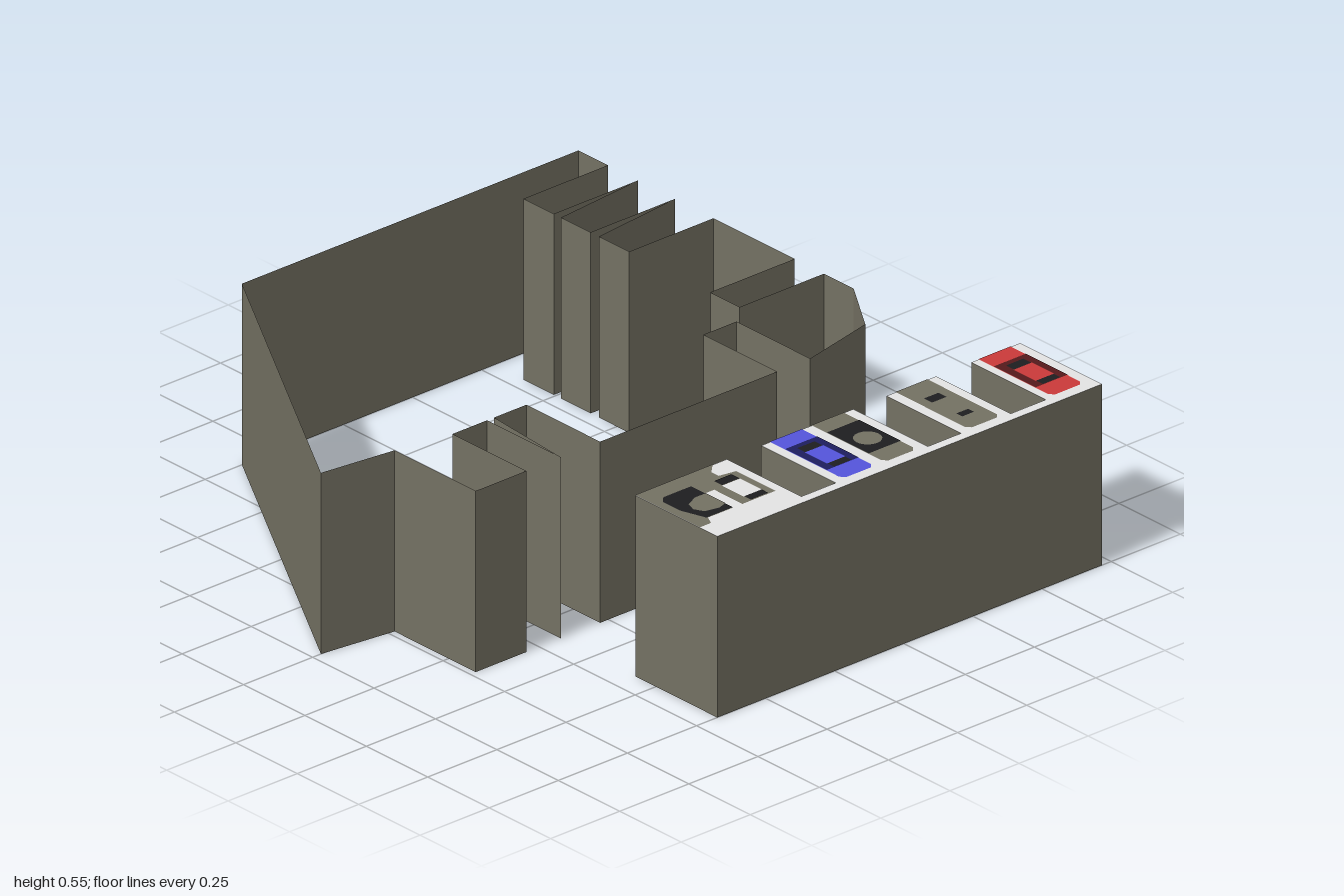
import * as THREE from 'three';

const H = 0.547;
const mat = (name, color, side = THREE.FrontSide) => {
  const m = new THREE.MeshStandardMaterial({ color, side });
  m.name = name;
  return m;
};

export function createModel() {
  const model = new THREE.Group();
  const M = {
    wall: mat('stone olive', 0x747163, THREE.DoubleSide),
    grey: mat('pale grey', 0xe4e4e4, THREE.DoubleSide),
    black: mat('near black', 0x1e1e20),
    blue: mat('blue', 0x5454dc),
    navy: mat('dark blue', 0x1e1e5e),
    red: mat('red', 0xca3a3a),
    maroon: mat('dark red', 0x561a1c),
  };

  const add = (parent, name, geo, material) => {
    const m = new THREE.Mesh(geo, material);
    m.name = name;
    parent.add(m);
    return m;
  };

  // Closed run of upright walls along a plan outline of [x, z] corners
  const walls = (pts) => {
    const pos = [];
    pts.forEach(([x0, z0], i) => {
      const [x1, z1] = pts[(i + 1) % pts.length];
      pos.push(x0, 0, z0, x1, 0, z1, x1, H, z1, x0, 0, z0, x1, H, z1, x0, H, z0);
    });
    const g = new THREE.BufferGeometry();
    g.setAttribute('position', new THREE.Float32BufferAttribute(pos, 3));
    g.computeVertexNormals();
    return g;
  };

  // Flat horizontal sheet from a plan outline
  const sheet = (pts, y) => {
    const s = new THREE.Shape(pts.map(([x, z]) => new THREE.Vector2(x, -z)));
    return new THREE.ShapeGeometry(s).rotateX(-Math.PI / 2).translate(0, y, 0);
  };
  const rect = (x0, x1, z0, z1) => [[x0, z0], [x0, z1], [x1, z1], [x1, z0]];
  const level = (n) => H + 0.0015 * n;

  // Roofless main building with bays and tapering fins
  const out = 0.85, inn = 0.545;
  const ring = [
    [-0.367, -1], [-0.97, 0], [-0.73, 0.03], [-0.73, 0.36], [-0.547, 0.36], [-0.547, 0.06],
    [-0.422, 0.06], [-0.422, 0.36], [-0.397, 0.06], [-0.28, 0.06], [-0.28, 0.36],
    [0.36, 0.36], [0.36, 0.06], [0.48, 0.06], [0.48, 0.36],
    [0.73, 0.303], [out, 0.12], [out, 0], [inn, 0], [inn, -0.12], [out, -0.12],
    [out, -0.45], [inn, -0.45],
    [inn, -0.573], [out, -0.607], [inn, -0.607],
    [inn, -0.727], [out, -0.757], [inn, -0.757],
    [inn, -0.88], [out, -0.88], [out, -1],
  ];
  add(model, 'courtyardWalls', walls(ring), M.wall);

  // Comb-shaped parking block
  const comb = [[0.967, 1]];
  [[0.967, 0.79], [0.663, 0.483], [0.363, 0.03], [-0.094, -0.425]].forEach(([r, l], i) => {
    if (i) comb.push([r, 0.97]);
    comb.push([r, 0.667], [l, 0.667]);
    if (i < 3) comb.push([l, 0.97]);
  });
  comb.push([-0.425, 1]);
  add(model, 'parkingWalls', walls(comb), M.wall);
  add(model, 'parkingRoof', sheet(comb, H), M.grey);

  // Painted details
  const paint = new THREE.Group();
  paint.name = 'paintedCars';
  model.add(paint);
  const patch = (name, x0, x1, z0, z1, n, m) =>
    add(paint, name, sheet(rect(x0, x1, z0, z1), level(n)), m);
  const disc = (name, x, z, r, n, m) =>
    add(paint, name, new THREE.CircleGeometry(r, 20).rotateX(-Math.PI / 2).translate(x, level(n), z), m);
  const windows = (cx) => {
    patch('frontWindow', cx - 0.031, cx + 0.031, 0.75, 0.783, 3, M.black);
    patch('rearWindow', cx - 0.031, cx + 0.031, 0.873, 0.9, 3, M.black);
  };
  // Car body with clipped rear corners
  const body = (cx, m) => add(paint, 'carBody', sheet([
    [cx - 0.058, 0.667], [cx - 0.058, 0.95], [cx - 0.045, 0.965],
    [cx + 0.045, 0.965], [cx + 0.058, 0.95], [cx + 0.058, 0.667],
  ], level(1)), m);

  [[0.118, M.blue, M.navy], [0.873, M.red, M.maroon]].forEach(([cx, m, dark]) => {
    body(cx, m);
    patch('carGlass', cx - 0.058, cx + 0.058, 0.73, 0.9, 2, dark);
    patch('carRoof', cx - 0.033, cx + 0.033, 0.783, 0.873, 3, m);
    windows(cx);
  });

  body(0.27, M.wall);
  patch('carCabin', 0.212, 0.328, 0.73, 0.9, 2, M.black);
  disc('carRoof', 0.27, 0.83, 0.04, 3, M.wall);

  body(0.573, M.wall);
  patch('frontWindow', 0.545, 0.597, 0.75, 0.783, 2, M.black);
  patch('rearWindow', 0.55, 0.592, 0.876, 0.9, 2, M.black);

  // Worn patch with two smaller cars at the wide end
  add(paint, 'wornPatch', sheet([
    [-0.425, 0.667], [-0.425, 0.93], [-0.385, 0.93], [-0.37, 0.9], [-0.28, 0.9], [-0.28, 0.785],
    [-0.245, 0.785], [-0.245, 0.9], [-0.125, 0.9], [-0.125, 0.74], [-0.18, 0.73],
    [-0.18, 0.70], [-0.145, 0.667],
  ], level(1)), M.wall);
  add(paint, 'carCabin', sheet([
    [-0.38, 0.73], [-0.4, 0.75], [-0.4, 0.82], [-0.375, 0.9], [-0.28, 0.9],
    [-0.28, 0.73],
  ], level(2)), M.black);
  add(paint, 'carRoof', sheet([
    [-0.36, 0.81], [-0.37, 0.84], [-0.355, 0.87], [-0.31, 0.88], [-0.28, 0.87], [-0.28, 0.79], [-0.32, 0.79],
  ], level(3)), M.wall);
  patch('paleRoof', -0.215, -0.15, 0.783, 0.873, 2, M.grey);
  windows(-0.183);

  return model;
}
